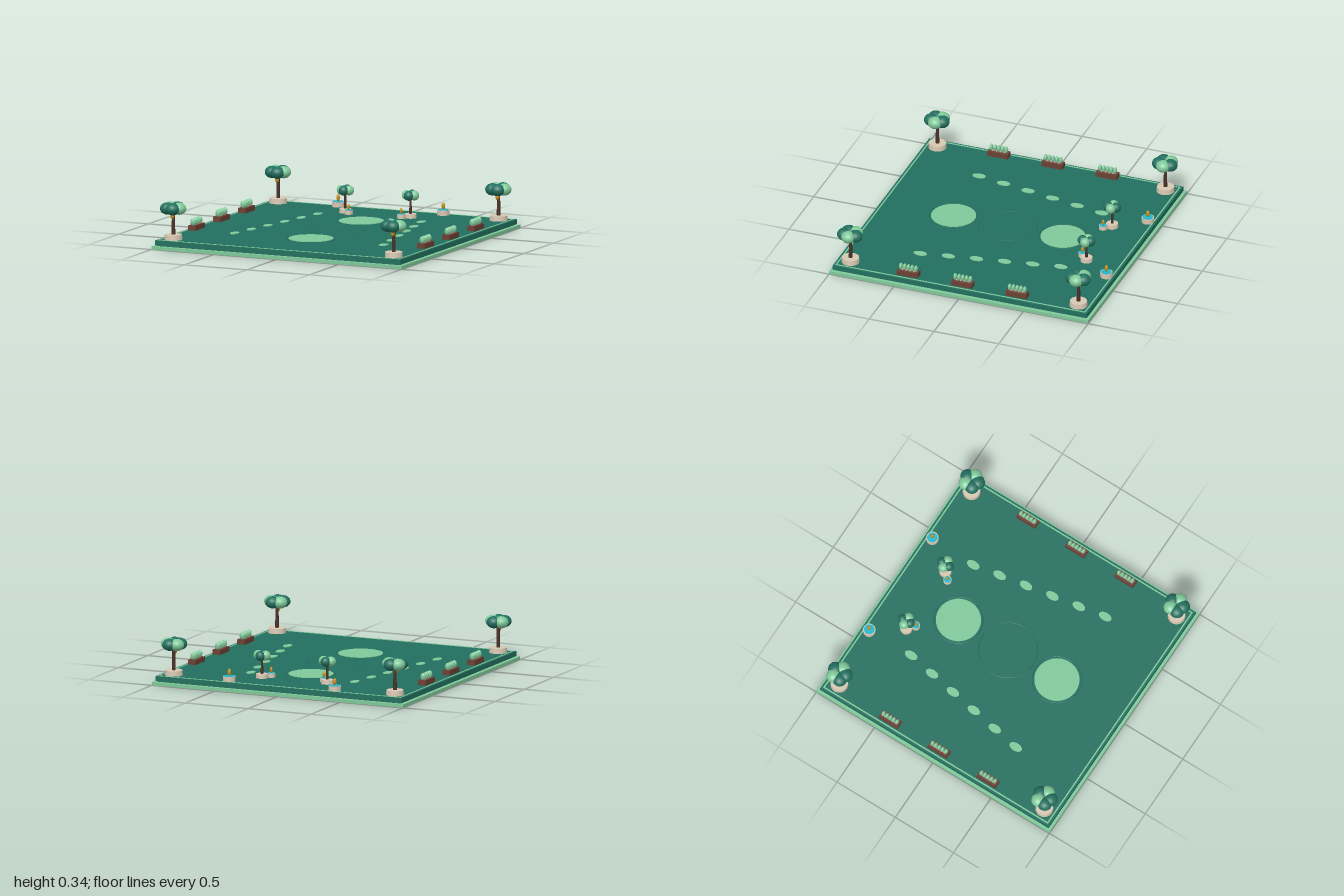
import * as THREE from 'three';

const mat = (color) => new THREE.MeshStandardMaterial({ color });
const M = {
  light: mat(0x80c99a), dark: mat(0x22705f), stone: mat(0xd8c8b2), bark: mat(0x4a2f28),
  wood: mat(0x6b4034), water: mat(0x1fb8d0), gold: mat(0xc8901c), bud: mat(0xc99a94),
};
const GROUND = 0.065;

function add(parent, name, geometry, material, x = 0, y = 0, z = 0) {
  const mesh = new THREE.Mesh(geometry, material);
  mesh.name = name;
  mesh.position.set(x, y, z);
  parent.add(mesh);
  return mesh;
}
const box = (w, h, d) => new THREE.BoxGeometry(w, h, d);
const cyl = (rt, rb, h, n = 32) => new THREE.CylinderGeometry(rt, rb, h, n);
const blob = (rx, ry, rz) => new THREE.SphereGeometry(1, 20, 14).scale(rx, ry, rz);

function group(parent, name, x, z) {
  const g = new THREE.Group();
  g.name = name;
  g.position.set(x, GROUND, z);
  parent.add(g);
  return g;
}

// Potted tree whose crown is a ring of overlapping leaf blobs
function tree(parent, x, z, o) {
  const g = group(parent, o.name, x, z);
  add(g, 'planter', cyl(o.potR * 0.96, o.potR, o.potH), M.stone, 0, o.potH / 2, 0);
  add(g, 'trunk', cyl(o.trunkR * 0.8, o.trunkR, o.crownY, 12), M.bark, 0, o.crownY / 2, 0);
  for (let i = 0; i < o.count; i++) {
    const a = (i / o.count) * Math.PI * 2;
    const m = i % o.lightEvery === 0 ? M.light : M.dark;
    add(g, 'leafBlob', blob(o.blobR, o.blobH, o.blobR), m,
      Math.cos(a) * o.ring, o.crownY, Math.sin(a) * o.ring);
  }
  if (o.fruit) add(g, 'fruit', blob(0.015, 0.024, 0.015), M.gold, 0, 0.175, 0.018);
}

// Round basin with water and a golden spout
function fountain(parent, x, z, r, h, spoutH) {
  const g = group(parent, 'fountain', x, z);
  add(g, 'basin', cyl(r, r, h), M.stone, 0, h / 2, 0);
  add(g, 'water', cyl(r * 0.84, r * 0.84, 0.004), M.water, 0, h + 0.001, 0);
  add(g, 'spout', blob(spoutH * 0.25, spoutH / 2, spoutH * 0.25), M.gold, 0, h + 0.003 + spoutH / 2, 0);
}

// Wooden trough with a row of five plants
function flowerBed(parent, x, z) {
  const g = group(parent, 'flowerBed', x, z);
  add(g, 'trough', box(0.06, 0.036, 0.16), M.wood, 0, 0.022, 0);
  for (let i = -2; i <= 2; i++) {
    add(g, 'plant', blob(0.02, 0.027, 0.0135), M.light, 0, 0.064, i * 0.029);
    if (i < 2) add(g, 'bud', blob(0.014, 0.01, 0.008), M.bud, 0, 0.043, (i + 0.5) * 0.029);
  }
}

export function createModel() {
  const root = new THREE.Group();
  root.name = 'garden';

  // Stepped ground slab with an inlaid border
  add(root, 'basePlate', box(2, 0.024, 2), M.light, 0, 0.012, 0);
  add(root, 'plinthGap', box(1.94, 0.01, 1.94), M.dark, 0, 0.027, 0);
  add(root, 'lawn', box(1.96, GROUND - 0.03, 1.96), M.dark, 0, (GROUND + 0.03) / 2, 0);
  for (const s of [-1, 1]) {
    add(root, 'borderSide', box(0.01, 0.004, 1.93), M.light, s * 0.96, GROUND + 0.001, 0);
    add(root, 'borderEnd', box(1.93, 0.004, 0.01), M.light, 0, GROUND + 0.001, s * 0.96);
  }

  // Round clearings and thin rings
  for (const z of [-0.425, 0.42]) {
    add(root, 'clearing', cyl(0.163, 0.163, 0.005, 64), M.light, 0, GROUND + 0.002, z);
    add(root, 'clearingRing', new THREE.TorusGeometry(0.178, 0.003, 6, 64).rotateX(Math.PI / 2),
      M.dark, 0, GROUND, z);
  }
  add(root, 'centreRing', new THREE.TorusGeometry(0.213, 0.003, 6, 64).rotateX(Math.PI / 2),
    M.dark, 0, GROUND, 0);

  const bigTree = { name: 'cornerTree', potR: 0.065, potH: 0.037, trunkR: 0.014, crownY: 0.228,
    count: 5, lightEvery: 3, blobR: 0.053, blobH: 0.044, ring: 0.045, fruit: true };
  const smallTree = { name: 'smallTree', potR: 0.045, potH: 0.03, trunkR: 0.01, crownY: 0.165,
    count: 4, lightEvery: 2, blobR: 0.036, blobH: 0.036, ring: 0.03 };

  // Everything standing on the lawn, on both sides
  for (const s of [-1, 1]) {
    for (const z of [-0.88, 0.88]) tree(root, s * 0.88, z, bigTree);
    tree(root, s * 0.26, -0.705, smallTree);
    fountain(root, s * 0.42, -0.92, 0.045, 0.037, 0.052);
    fountain(root, s * 0.21, -0.655, 0.03, 0.03, 0.042);
    for (const z of [-0.42, 0, 0.42]) flowerBed(root, s * 0.915, z);
    for (let i = 0; i < 6; i++) {
      add(root, 'steppingStone', cyl(1, 1, 0.006).scale(0.03, 1, 0.05), M.light,
        s * (0.413 + i * 0.0365), GROUND + 0.002, -0.565 + i * 0.203);
    }
  }
  return root;
}
